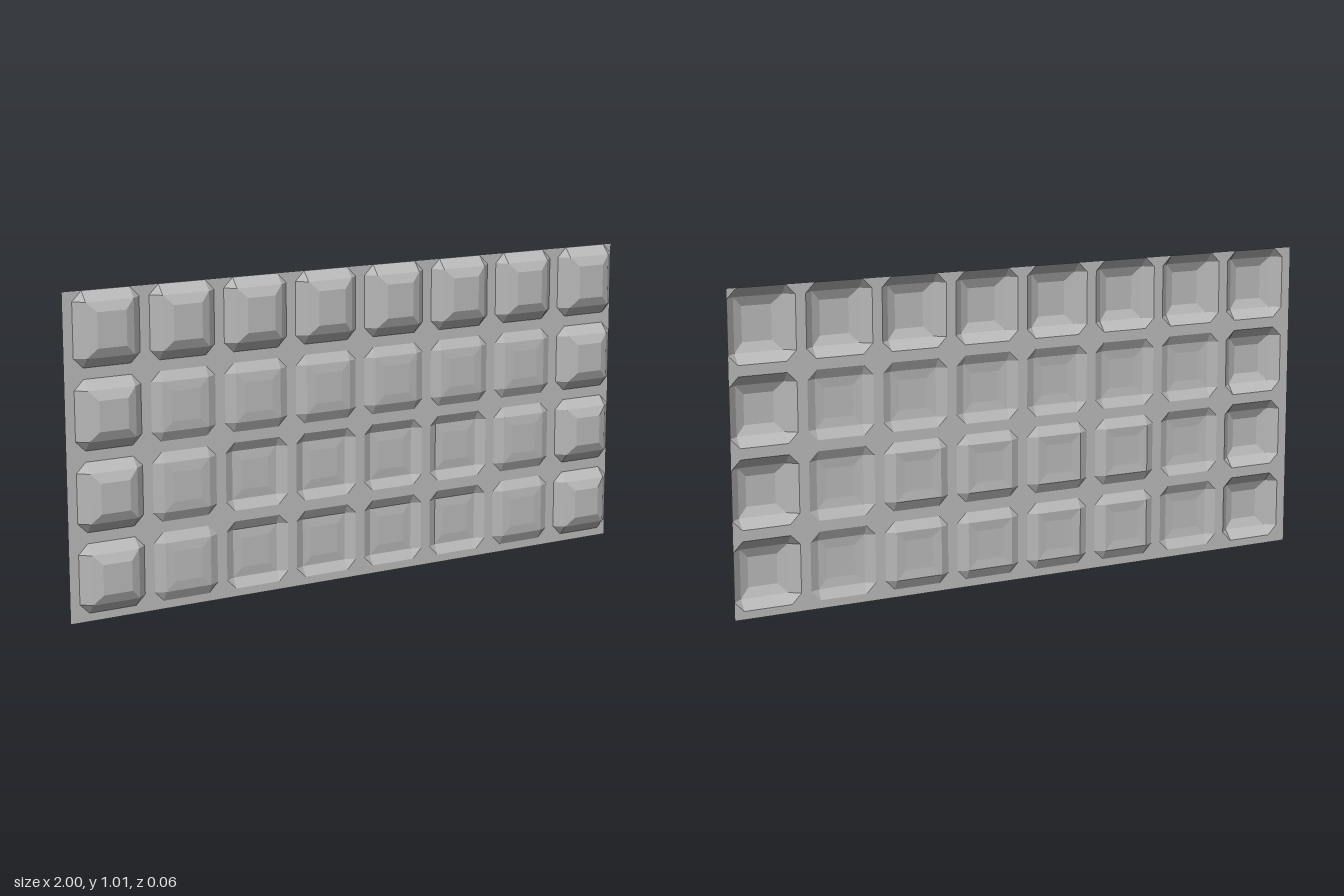
import * as THREE from 'three';

const COLS = 8, ROWS = 4, TOP = 1.007, BASE_Z = -0.012, BEVEL = 0.031;

// mid and face: depths of the bevel's inner edge and of the centre face
const STYLES = {
  raisedTile: { mid: 0.016, face: 0.029 },
  shallowTile: { mid: 0.004, face: 0.007 },
  sunkenTile: { mid: -0.029, face: -0.026 },
};

function styleOf(row, col) {
  if (row === 0 || col === 0 || col === COLS - 1) return 'raisedTile';
  if (row === 1 || col === 1 || col === COLS - 2) return 'shallowTile';
  return 'sunkenTile';
}

// Tile outline; the top row is slightly taller and reaches the sheet's edge
function boundsOf(row, col) {
  const x1 = 0.999 - 0.25 * (COLS - 1 - col);
  const y0 = 0.026 + 0.25 * (ROWS - 1 - row);
  return { x0: x1 - 0.217, x1, y0, y1: row === 0 ? TOP - 0.001 : y0 + 0.216 };
}

// Corner-cut outline, counter-clockwise from the bottom edge
function octagon({ x0, x1, y0, y1 }, c) {
  return [[x0 + c, y0], [x1 - c, y0], [x1, y0 + c], [x1, y1 - c],
    [x1 - c, y1], [x0 + c, y1], [x0, y1 - c], [x0, y0 + c]];
}

function rectangle({ x0, x1, y0, y1 }, d, z) {
  return [[x0 + d, y0 + d, z], [x1 - d, y0 + d, z], [x1 - d, y1 - d, z], [x0 + d, y1 - d, z]];
}

function tileGeometry(bounds, { mid, face }) {
  const outer = octagon(bounds, BEVEL).map(([x, y]) => [x, y, BASE_Z]);
  const ring = rectangle(bounds, BEVEL, mid);
  const centre = rectangle(bounds, BEVEL + 0.03, face);
  const points = [];
  const quad = (a, b, c, d) => points.push(...a, ...b, ...c, ...a, ...c, ...d);
  for (let i = 0; i < 4; i++) {
    const j = (i + 1) % 4;
    quad(outer[2 * i], outer[2 * i + 1], ring[j], ring[i]); // side bevel
    points.push(...outer[2 * i + 1], ...outer[(2 * i + 2) % 8], ...ring[j]); // corner facet
    quad(ring[i], ring[j], centre[j], centre[i]); // inner bevel
  }
  quad(...centre);
  const geometry = new THREE.BufferGeometry();
  geometry.setAttribute('position', new THREE.Float32BufferAttribute(points, 3));
  geometry.computeVertexNormals();
  return geometry;
}

export function createModel() {
  const model = new THREE.Group();
  model.name = 'tiledPanel';
  const grey = new THREE.MeshStandardMaterial({ color: 0xb8b8b8, side: THREE.DoubleSide, flatShading: true });
  grey.name = 'panelGrey';

  // Thin sheet with an opening for every tile
  const sheet = new THREE.Shape([[-1, 0], [1, 0], [1, TOP], [-1, TOP]].map(p => new THREE.Vector2(...p)));

  for (let row = 0; row < ROWS; row++) {
    for (let col = 0; col < COLS; col++) {
      const bounds = boundsOf(row, col);
      const style = styleOf(row, col);
      sheet.holes.push(new THREE.Path(octagon(bounds, BEVEL).reverse().map(p => new THREE.Vector2(...p))));
      const tile = new THREE.Mesh(tileGeometry(bounds, STYLES[style]), grey);
      tile.name = style;
      model.add(tile);
    }
  }

  const grid = new THREE.Mesh(new THREE.ShapeGeometry(sheet), grey);
  grid.name = 'gridSheet';
  grid.position.z = BASE_Z;
  model.add(grid);
  return model;
}
